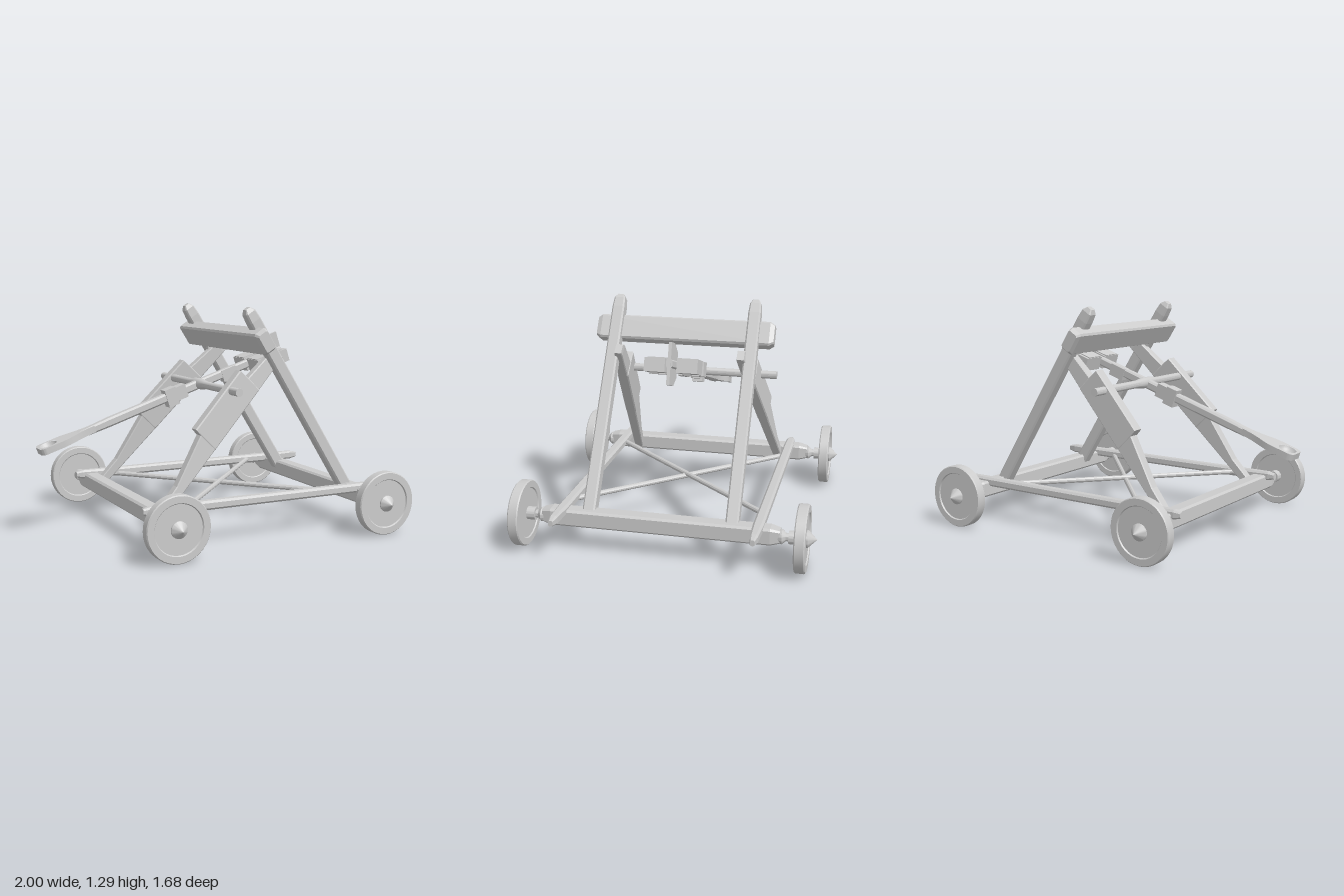
import * as THREE from 'three';
import { toCreasedNormals } from 'three/addons/utils/BufferGeometryUtils.js';

const flat = new THREE.MeshStandardMaterial({ color: 0xcccccc, flatShading: true });
const smooth = new THREE.MeshStandardMaterial({ color: 0xcccccc });
const open = new THREE.MeshStandardMaterial({ color: 0xcccccc, side: THREE.DoubleSide });

function add(parent, name, geometry, material = flat) {
  const mesh = new THREE.Mesh(geometry, material);
  mesh.name = name;
  parent.add(mesh);
  return mesh;
}

// Chamfered timber along x; each section is [x, yCentre, halfY, zCentre, halfZ]
function timber(sections, chamfer = 0.25) {
  const pos = [], idx = [], n = 8;
  for (const [x, yc, a, zc, b] of sections) {
    const c = chamfer * Math.min(a, b);
    const ring = [[a, -b + c], [a, b - c], [a - c, b], [c - a, b], [-a, b - c], [-a, c - b], [c - a, -b], [a - c, -b]];
    for (const [y, z] of ring) pos.push(x, yc + y, zc + z);
  }
  const last = (sections.length - 1) * n;
  for (let i = 0; i < last; i += n) {
    for (let k = 0; k < n; k++) {
      const p = i + k, q = i + (k + 1) % n;
      idx.push(p, q, q + n, p, q + n, p + n);
    }
  }
  for (let k = 1; k < n - 1; k++) idx.push(0, k + 1, k, last, last + k, last + k + 1);
  const g = new THREE.BufferGeometry();
  g.setAttribute('position', new THREE.Float32BufferAttribute(pos, 3));
  g.setIndex(idx);
  g.computeVertexNormals();
  return g;
}

// Straight timber with narrowed ends
const beam = (x0, x1, a, b, end = 0.05, shrink = 0.7) => timber([
  [x0, 0, a * shrink, 0, b * shrink], [x0 + end, 0, a, 0, b],
  [x1 - end, 0, a, 0, b], [x1, 0, a * shrink, 0, b * shrink]]);

// Round rod between two points
function rod(parent, name, from, to, r) {
  const a = new THREE.Vector3(...from), b = new THREE.Vector3(...to);
  const dir = b.clone().sub(a);
  const m = add(parent, name, new THREE.CylinderGeometry(r, r, dir.length(), 10), flat);
  m.position.copy(a).add(b).multiplyScalar(0.5);
  m.quaternion.setFromUnitVectors(new THREE.Vector3(0, 1, 0), dir.normalize());
}

function addChassis(g) {
  // Axle beams with a wheel, stub and pointed hub at each end
  const profile = [[0, 0.62], [0.035, 0.635], [0.04, 0.66], [0.022, 0.68], [0.022, 0.695], [0.036, 0.695],
    [0.036, 0.742], [0.135, 0.742], [0.14, 0.736], [0.176, 0.736], [0.181, 0.742], [0.181, 0.788],
    [0.176, 0.794], [0.14, 0.794], [0.135, 0.787], [0.046, 0.787], [0.046, 0.795], [0, 0.842]]
    .map(([r, y]) => new THREE.Vector2(r, y));
  const wheel = toCreasedNormals(new THREE.LatheGeometry(profile, 36), 0.6);
  for (const x of [-0.505, 0.79]) {
    const axle = add(g, 'axleBeam', beam(-0.65, 0.65, 0.047, 0.045, 0.05, 0.75));
    axle.position.set(x, 0.187, 0);
    axle.rotation.y = -Math.PI / 2;
    for (const s of [1, -1]) {
      const w = add(g, 'wheel', wheel, smooth);
      w.position.set(x, 0.182, 0);
      w.rotation.x = s * Math.PI / 2;
    }
  }
  for (const s of [1, -1]) {
    // Long side rail
    const rail = add(g, 'sideRail', timber([
      [-0.6, 0, 0.016, 0, 0.016], [-0.56, 0, 0.026, 0, 0.024], [-0.45, 0, 0.026, 0, 0.029],
      [0.8, 0, 0.026, 0, 0.029], [0.95, 0, 0.026, 0, 0.022], [1, 0, 0.016, 0, 0.012]], 0.45));
    rail.position.set(0, 0.228, s * 0.535);
    // Diagonal floor brace
    rod(g, 'crossBrace', [-0.33, 0.222 + s * 0.006, s * 0.52], [0.61, 0.222 + s * 0.006, -s * 0.52], 0.015);
  }
}

function addFrame(g) {
  for (const s of [1, -1]) {
    // Tall leaning post
    const post = add(g, 'leaningPost', timber([
      [0, 0, 0.036, 0, 0.035], [1.22, 0, 0.036, 0, 0.035],
      [1.275, 0, 0.032, 0, 0.031], [1.3, 0, 0.016, 0, 0.018]]));
    post.position.set(0.79, 0.18, s * 0.393);
    post.rotation.z = Math.atan2(1.09, -0.69);
    // Front strut leaning inward, with a wide bearing block; [distance, width, half thickness]
    const strut = [[-0.2, 0.045, 0.026], [0, 0.055, 0.028], [0.3, 0.125, 0.03], [0.305, 0.17, 0.032],
      [0.73, 0.17, 0.032], [0.735, 0.1, 0.028], [0.95, 0.078, 0.024], [0.98, 0.06, 0.02]];
    const m = add(g, 'frontStrut', timber(strut.map(([d, w, b]) =>
      [d, w / 2, w / 2, s * (0.445 - 0.1 * d), b]), 0.2));
    m.position.set(-0.33, 0.29, 0);
    m.rotation.z = 0.806;
  }
  // Stop beam across the posts
  const stop = add(g, 'stopBeam', beam(-0.51, 0.51, 0.07, 0.041, 0.025, 0.78));
  stop.position.set(0.163, 1.098, 0);
  stop.rotation.set(0, -Math.PI / 2, 0.567, 'ZYX');
  // Pivot rod, thicker at the middle
  const pivot = [[0, -0.505], [0.023, -0.505], [0.023, -0.1], [0.032, -0.04], [0.032, 0.04],
    [0.023, 0.1], [0.023, 0.505], [0, 0.505]].map(([r, y]) => new THREE.Vector2(r, y));
  const p = add(g, 'pivotRod', toCreasedNormals(new THREE.LatheGeometry(pivot, 16), 0.6), smooth);
  p.position.set(-0.007, 0.825, 0);
  p.rotation.x = Math.PI / 2;
}

function addArm(g) {
  const arm = new THREE.Group();
  arm.name = 'throwingArm';
  arm.position.set(-0.005, 0.825, 0);
  arm.rotation.z = 0.322;
  g.add(arm);

  add(arm, 'armShaft', timber([
    [-0.8, -0.002, 0.02, 0, 0.024], [-0.6, 0, 0.026, 0, 0.027], [-0.2, 0, 0.026, 0, 0.025],
    [0.1, 0, 0.026, 0, 0.022], [0.58, 0, 0.022, 0, 0.018]], 0.4));
  // Bindings around the shaft: [centre, length, height, depth, offset]
  for (const [x, l, h, d, y] of [[-0.2, 0.07, 0.105, 0.062, -0.005], [-0.15, 0.1, 0.08, 0.056, 0], [0.2, 0.1, 0.07, 0.05, -0.012]]) {
    add(arm, 'binding', new THREE.BoxGeometry(l, h, d)).position.set(x, y, 0);
  }

  // Spoon plate with a round hollow
  const plan = new THREE.Shape();
  plan.moveTo(-0.7, -0.026);
  plan.bezierCurveTo(-0.82, -0.03, -0.84, -0.066, -0.91, -0.068);
  plan.lineTo(-1.01, -0.066);
  plan.quadraticCurveTo(-1.042, -0.062, -1.042, -0.03);
  plan.lineTo(-1.042, 0.03);
  plan.quadraticCurveTo(-1.042, 0.062, -1.01, 0.066);
  plan.lineTo(-0.91, 0.068);
  plan.bezierCurveTo(-0.84, 0.066, -0.82, 0.03, -0.7, 0.026);
  plan.closePath();
  plan.holes.push(new THREE.Path().absarc(-0.98, 0, 0.05, 0, Math.PI * 2, true));
  const plate = new THREE.ExtrudeGeometry(plan, { depth: 0.036, bevelEnabled: false, curveSegments: 10 });
  plate.rotateX(-Math.PI / 2);
  add(arm, 'spoon', toCreasedNormals(plate, 0.6), smooth).position.y = -0.018;
  const dish = [[0, -0.017], [0.025, -0.012], [0.042, 0], [0.05, 0.017]].map(([r, y]) => new THREE.Vector2(r, y));
  add(arm, 'spoonHollow', new THREE.LatheGeometry(dish, 24), open).position.x = -0.98;

  // Paired counterweight blocks with flat fins
  for (const s of [1, -1]) {
    add(arm, 'weightBlock', new THREE.BoxGeometry(0.075, 0.08, 0.14)).position.set(0.375, -0.01, s * 0.085);
    add(arm, 'weightBlock', new THREE.BoxGeometry(0.125, 0.075, 0.115)).position.set(0.485, -0.008, s * 0.09);
    add(arm, 'weightStrap', new THREE.BoxGeometry(0.18, 0.02, 0.11)).position.set(0.43, 0.026, s * 0.082);
  }
  // Upright tail fin
  const fin = new THREE.Shape([[0.43, -0.07], [0.49, -0.115], [0.585, -0.115], [0.585, 0.115], [0.51, 0.115], [0.43, 0.07]]
    .map(([x, y]) => new THREE.Vector2(x, y)));
  const finGeo = new THREE.ExtrudeGeometry(fin, { depth: 0.018, bevelEnabled: false });
  add(arm, 'tailFin', finGeo).position.z = -0.009;
}

export function createModel() {
  const g = new THREE.Group();
  g.name = 'catapult';
  addChassis(g);
  addFrame(g);
  addArm(g);
  return g;
}
